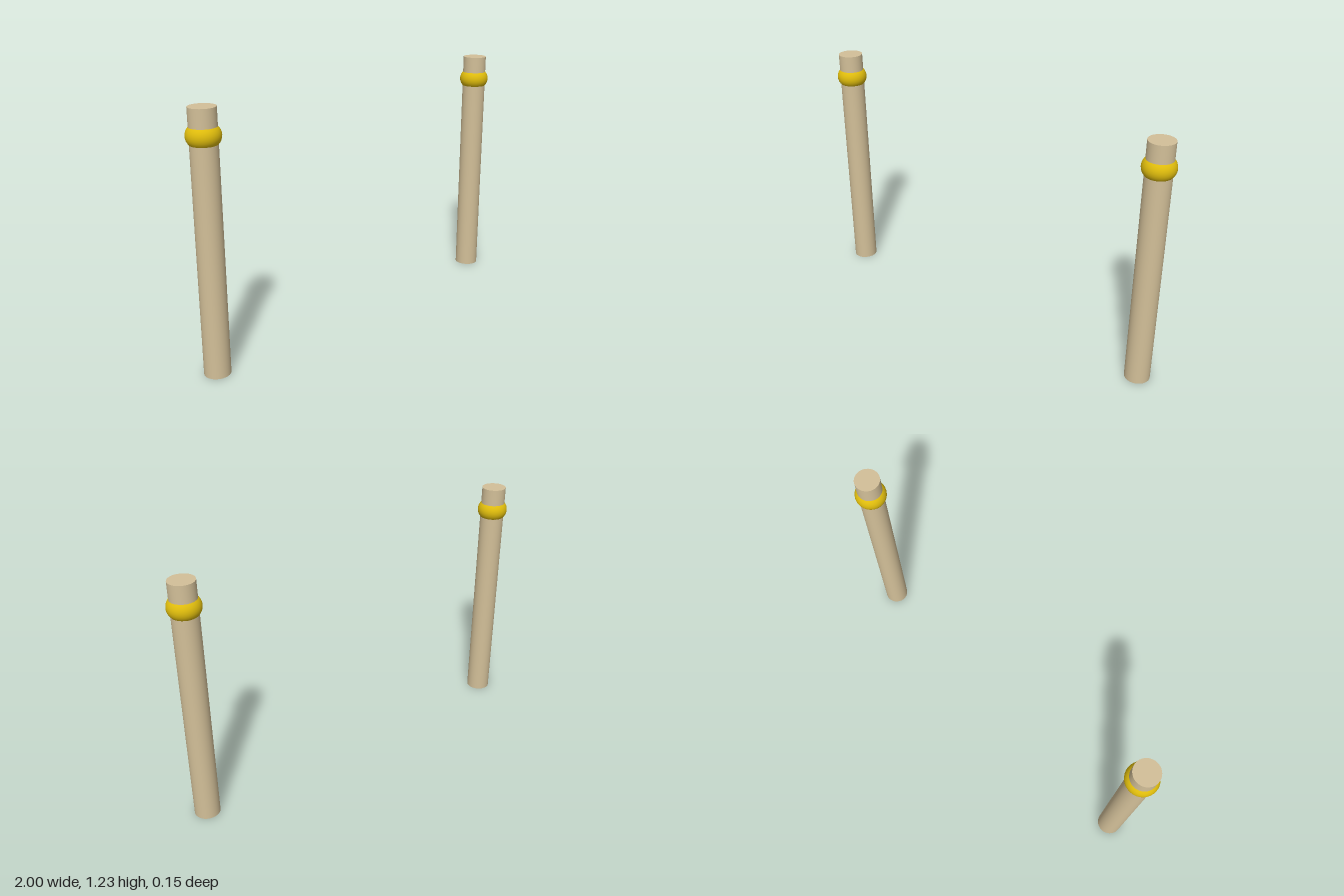
import * as THREE from 'three';

export function createModel() {
  const model = new THREE.Group();
  model.name = 'postPair';

  const wood = new THREE.MeshStandardMaterial({ color: 0xd2bf98 });
  wood.name = 'pale wood';
  const gold = new THREE.MeshStandardMaterial({ color: 0xdfbc0c });
  gold.name = 'gold';

  const height = 1.231, radius = 0.0615;
  const postGeometry = new THREE.CylinderGeometry(radius, radius, height, 32);
  // Thick ring: only its bulge shows outside the post
  const ringGeometry = new THREE.TorusGeometry(0.023, 0.054, 32, 48).rotateX(Math.PI / 2);

  for (const [side, sign] of [['left', 1], ['right', -1]]) {
    const group = new THREE.Group();
    group.name = side + 'Post';
    group.position.x = sign * 0.923;

    const post = new THREE.Mesh(postGeometry, wood);
    post.name = side + 'Shaft';
    post.position.y = height / 2;

    const ring = new THREE.Mesh(ringGeometry, gold);
    ring.name = side + 'Ring';
    ring.position.y = 1.108;

    group.add(post, ring);
    model.add(group);
  }
  return model;
}
